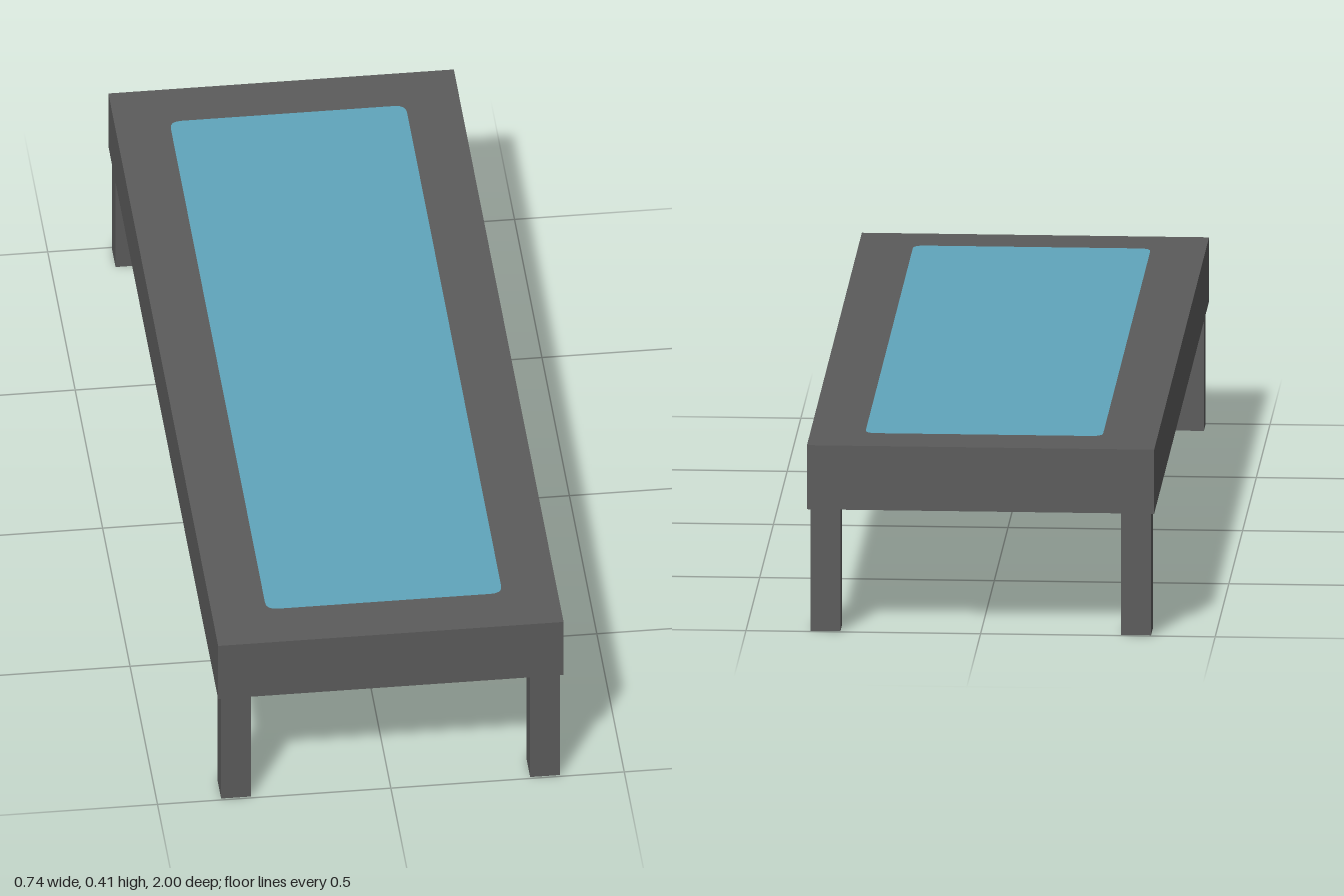
import * as THREE from 'three';

const WIDTH = 0.74, LENGTH = 2, TOP = 0.407, UNDER = 0.267;

// Rectangle with small rounded corners, centred on the origin
function roundedRect(w, h, r) {
  const x = w / 2, y = h / 2;
  const s = new THREE.Shape();
  s.moveTo(-x + r, -y);
  s.lineTo(x - r, -y);
  s.quadraticCurveTo(x, -y, x, -y + r);
  s.lineTo(x, y - r);
  s.quadraticCurveTo(x, y, x - r, y);
  s.lineTo(-x + r, y);
  s.quadraticCurveTo(-x, y, -x, y - r);
  s.lineTo(-x, -y + r);
  s.quadraticCurveTo(-x, -y, -x + r, -y);
  return s;
}

export function createModel() {
  const model = new THREE.Group();
  model.name = 'table';

  const grey = new THREE.MeshStandardMaterial({ color: 0x5b5b5b });
  grey.name = 'dark grey';
  const legGrey = grey;
  legGrey.side = THREE.DoubleSide;
  const blue = new THREE.MeshStandardMaterial({ color: 0x60a5bb });
  blue.name = 'soft blue';

  const add = (name, geometry, material, x, y, z) => {
    const mesh = new THREE.Mesh(geometry, material);
    mesh.name = name;
    mesh.position.set(x, y, z);
    model.add(mesh);
    return mesh;
  };

  // Thick slab top
  add('tableTop', new THREE.BoxGeometry(WIDTH, TOP - UNDER, LENGTH), grey, 0, (TOP + UNDER) / 2, 0);

  // Blue inlay on the upper and lower faces
  const inlay = new THREE.ShapeGeometry(roundedRect(0.506, 1.766, 0.025), 4);
  add('upperInlay', inlay, blue, 0, TOP + 0.001, 0).rotation.x = -Math.PI / 2;
  add('lowerInlay', inlay, blue, 0, UNDER - 0.001, 0).rotation.x = Math.PI / 2;

  // Four square legs, hollow and open at the foot
  const leg = new THREE.CylinderGeometry(0.064 / Math.SQRT2, 0.064 / Math.SQRT2, UNDER, 4, 1, true)
    .rotateY(Math.PI / 4).toNonIndexed();
  leg.computeVertexNormals();
  for (const [end, z] of [['front', 0.963], ['back', -0.961]]) {
    for (const [side, x] of [['Left', 0.331], ['Right', -0.331]]) {
      add(`${end}${side}Leg`, leg, legGrey, x, UNDER / 2, z);
    }
  }
  return model;
}
